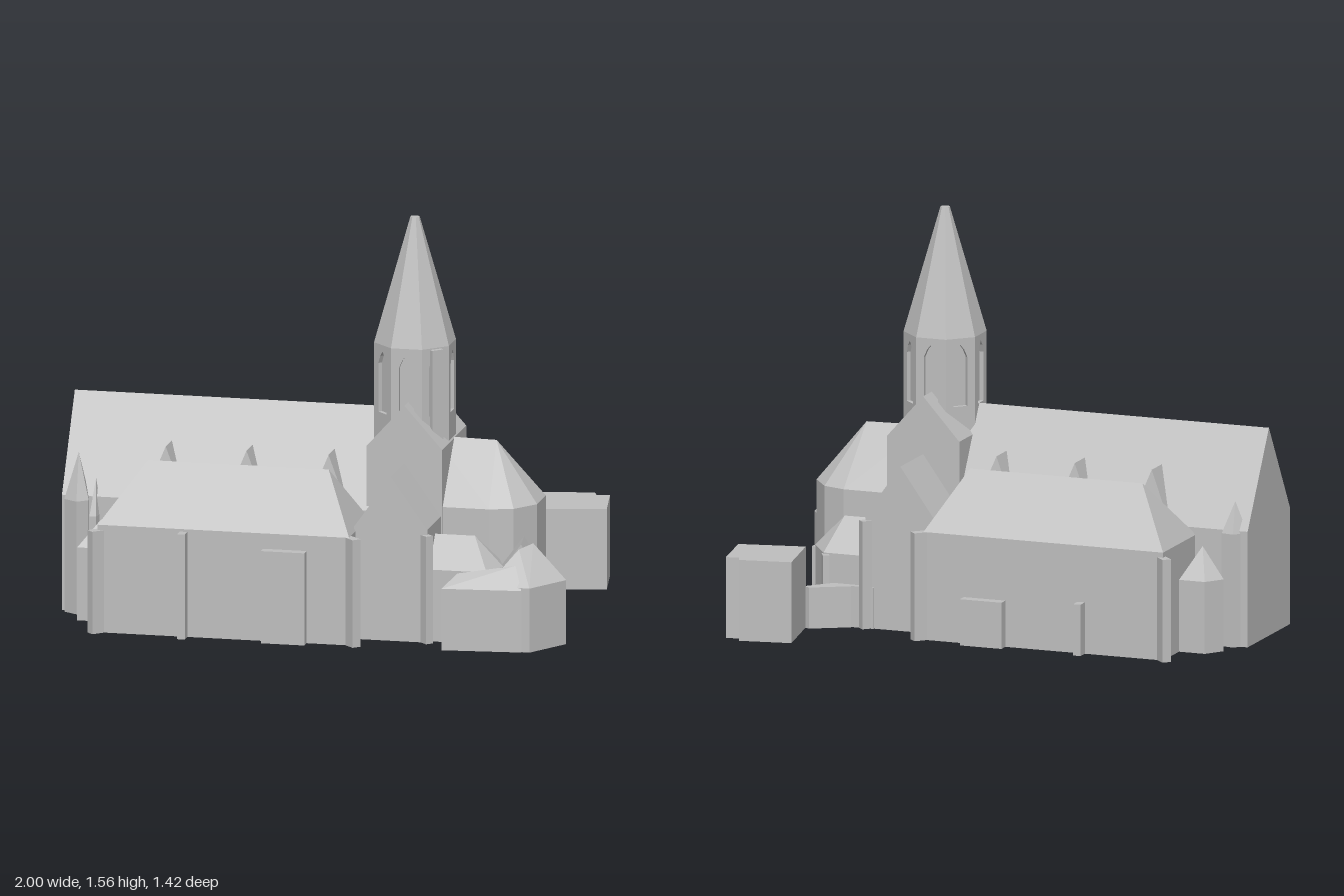
import * as THREE from 'three';
import { ConvexGeometry } from 'three/addons/geometries/ConvexGeometry.js';

export function createModel() {
  const model = new THREE.Group();
  model.name = 'church';
  const stone = new THREE.MeshStandardMaterial({ color: 0xbfbfbf });
  stone.name = 'grey stone';
  const axisZ = 0.115; // long axis of the nave

  function add(name, geo) {
    const g = geo.index ? geo.toNonIndexed() : geo;
    g.computeVertexNormals();
    const mesh = new THREE.Mesh(g, stone);
    mesh.name = name;
    model.add(mesh);
    return mesh;
  }
  // Convex block: plan outline [x, z], eave height, extra roof points [x, y, z]
  function block(name, plan, eave, roof = []) {
    const pts = [];
    for (const [x, z] of plan) pts.push(new THREE.Vector3(x, 0, z), new THREE.Vector3(x, eave, z));
    for (const p of roof) pts.push(new THREE.Vector3(...p));
    return add(name, new ConvexGeometry(pts));
  }
  const rect = (x0, x1, z0, z1) => [[x0, z0], [x1, z0], [x1, z1], [x0, z1]];
  function box(name, x, z, w, d, h, turn = 0, y = 0) {
    const m = add(name, new THREE.BoxGeometry(w, h, d));
    m.position.set(x, y + h / 2, z);
    m.rotation.y = turn;
    return m;
  }

  // Nave with steep gable roof
  block('nave', rect(-1, 0.25, -0.105, 0.335), 0.45, [[-1, 0.81, axisZ], [0.25, 0.81, axisZ]]);

  // Crossing below the tower
  block('crossing', rect(0.185, 0.48, -0.09, 0.325), 0.7, [[0.333, 0.865, -0.09], [0.333, 0.865, 0.325]]);

  // Parts mirrored on both sides of the nave
  for (const s of [-1, 1]) {
    const z = d => axisZ + s * d;
    block('aisle', rect(-0.785, 0.195, z(0.21), z(0.55)), 0.42,
      [[-0.63, 0.64, z(0.372)], [0.075, 0.64, z(0.372)]]);
    block('transept', rect(0.19, 0.475, z(0.1), z(0.44)), 0.44,
      [[0.333, 0.64, z(0.1)], [0.333, 0.64, z(0.44)]]);
    for (const x of [-0.6, -0.285, 0.035]) {
      block('naveDormer', [[x - 0.095, z(0.225)], [x + 0.095, z(0.225)], [x, z(0.12)]], 0.42,
        [[x, 0.655, z(0.2)], [x, 0.655, z(0.09)]]);
    }
    // Diagonal corner buttresses
    box('cornerButtress', -0.785, z(0.55), 0.035, 0.07, 0.4, -s * Math.PI / 4);
    box('cornerButtress', 0.205, z(0.55), 0.035, 0.07, 0.42, s * Math.PI / 4);
    box('transeptButtress', 0.47, z(0.44), 0.03, 0.05, 0.42, s * Math.PI / 4);
    // Wall buttress and side porch
    box('wallButtress', -0.45, z(0.565), 0.03, 0.06, s > 0 ? 0.41 : 0.2);
    box('sidePorch', -0.055, z(0.565), 0.17, 0.05, s > 0 ? 0.36 : 0.18);
  }

  // Octagonal tower with pointed niches
  const tx = 0.33, tz = 0.13, apothem = 0.146, half = apothem * Math.tan(Math.PI / 8);
  const toR = a => a / Math.cos(Math.PI / 8);
  const core = add('towerCore', new THREE.CylinderGeometry(toR(0.13), toR(0.13), 0.56, 8, 1, false, Math.PI / 8));
  core.position.set(tx, 0.79, tz);
  const panel = new THREE.Shape();
  panel.moveTo(-half, 0.5).lineTo(half, 0.5).lineTo(half, 1.075).lineTo(-half, 1.075);
  const niche = new THREE.Path();
  niche.moveTo(-0.029, 0.81).lineTo(-0.029, 1.0).lineTo(-0.016, 1.03).lineTo(0, 1.05)
    .lineTo(0.016, 1.03).lineTo(0.029, 1.0).lineTo(0.029, 0.81);
  panel.holes.push(niche);
  for (let k = 0; k < 8; k++) {
    const a = k * Math.PI / 4;
    const wall = add('towerWall', new THREE.ExtrudeGeometry(panel, { depth: 0.018, bevelEnabled: false }));
    wall.rotation.y = a;
    wall.position.set(tx + Math.sin(a) * (apothem - 0.018), 0, tz + Math.cos(a) * (apothem - 0.018));
  }
  const spire = add('spire', new THREE.CylinderGeometry(0.018, toR(apothem), 0.485, 8, 1, false, Math.PI / 8));
  spire.position.set(tx, 1.3175, tz);
  box('towerStairStrip', tx + 0.107, tz + 0.107, 0.05, 0.025, 0.5, Math.PI / 4, 0.57);

  // Choir with polygonal apse
  block('choir', [[0.4, -0.085], [0.66, -0.085], [0.75, -0.055], [0.82, 0.04],
    [0.82, 0.19], [0.75, 0.285], [0.66, 0.315], [0.4, 0.315]], 0.475,
  [[0.4, 0.705, axisZ], [0.645, 0.7, axisZ]]);

  // Chapels beside the choir
  block('northChapel', [[0.45, -0.07], [0.66, -0.07], [0.735, -0.19], [0.655, -0.305], [0.48, -0.305]],
    0.275, [[0.45, 0.395, -0.175], [0.62, 0.395, -0.175]]);
  block('southChapel', [[0.45, 0.3], [0.7, 0.3], [0.74, 0.42], [0.7, 0.53], [0.45, 0.53]],
    0.28, [[0.45, 0.395, 0.42], [0.63, 0.395, 0.42]]);
  box('northChapelButtress', 0.645, -0.31, 0.025, 0.04, 0.27, 0.5);
  box('northChapelButtress', 0.725, -0.185, 0.04, 0.025, 0.27);

  // Sacristy at the south east
  block('sacristy', [[0.72, 0.34], [0.85, 0.24], [0.995, 0.46], [0.89, 0.63], [0.72, 0.62]],
    0.25, [[0.86, 0.38, 0.43], [0.82, 0.37, 0.5]]);
  block('sacristyWing', [[0.54, 0.52], [0.8, 0.5], [0.86, 0.635], [0.555, 0.665]],
    0.24, [[0.6, 0.285, 0.59], [0.82, 0.32, 0.56]]);
  block('sacristyDormer', [[0.7, 0.29], [0.85, 0.25], [0.87, 0.4], [0.72, 0.42]],
    0.25, [[0.79, 0.37, 0.28], [0.81, 0.37, 0.42]]);

  // Detached annex and its connecting passage
  block('annex', [[0.64, -0.675], [0.84, -0.71], [0.84, -0.685], [0.69, -0.4], [0.945, -0.452]], 0.315);
  block('annexCorner', [[0.82, -0.665], [0.905, -0.683], [0.945, -0.452], [0.86, -0.435]], 0.315);
  block('passage', [[0.53, -0.335], [0.6, -0.34], [0.67, -0.415], [0.7, -0.4], [0.61, -0.3], [0.55, -0.28]], 0.16);
  block('passageEnd', rect(0.44, 0.58, -0.33, -0.28), 0.16);

  // West end turrets
  block('northWestTurret', [[-0.94, -0.2], [-0.89, -0.27], [-0.785, -0.27], [-0.785, -0.1], [-0.87, -0.1]],
    0.28, [[-0.85, 0.4, -0.19]]);
  block('southWestTurret', [[-0.9, 0.33], [-0.785, 0.33], [-0.785, 0.49], [-0.905, 0.49]],
    0.285, [[-0.83, 0.38, 0.41], [-0.79, 0.38, 0.41]]);
  block('westPinnacle', [[-0.99, 0.3], [-0.9, 0.3], [-0.89, 0.36], [-0.93, 0.395], [-0.985, 0.36]],
    0.44, [[-0.94, 0.615, 0.31]]);
  block('westPinnacle', [[-0.89, 0.31], [-0.85, 0.31], [-0.86, 0.37], [-0.885, 0.37]],
    0.38, [[-0.87, 0.52, 0.32]]);
  block('westPinnacle', [[-0.99, -0.08], [-0.9, -0.08], [-0.9, -0.12], [-0.95, -0.13]],
    0.44, [[-0.94, 0.56, -0.08]]);

  return model;
}
